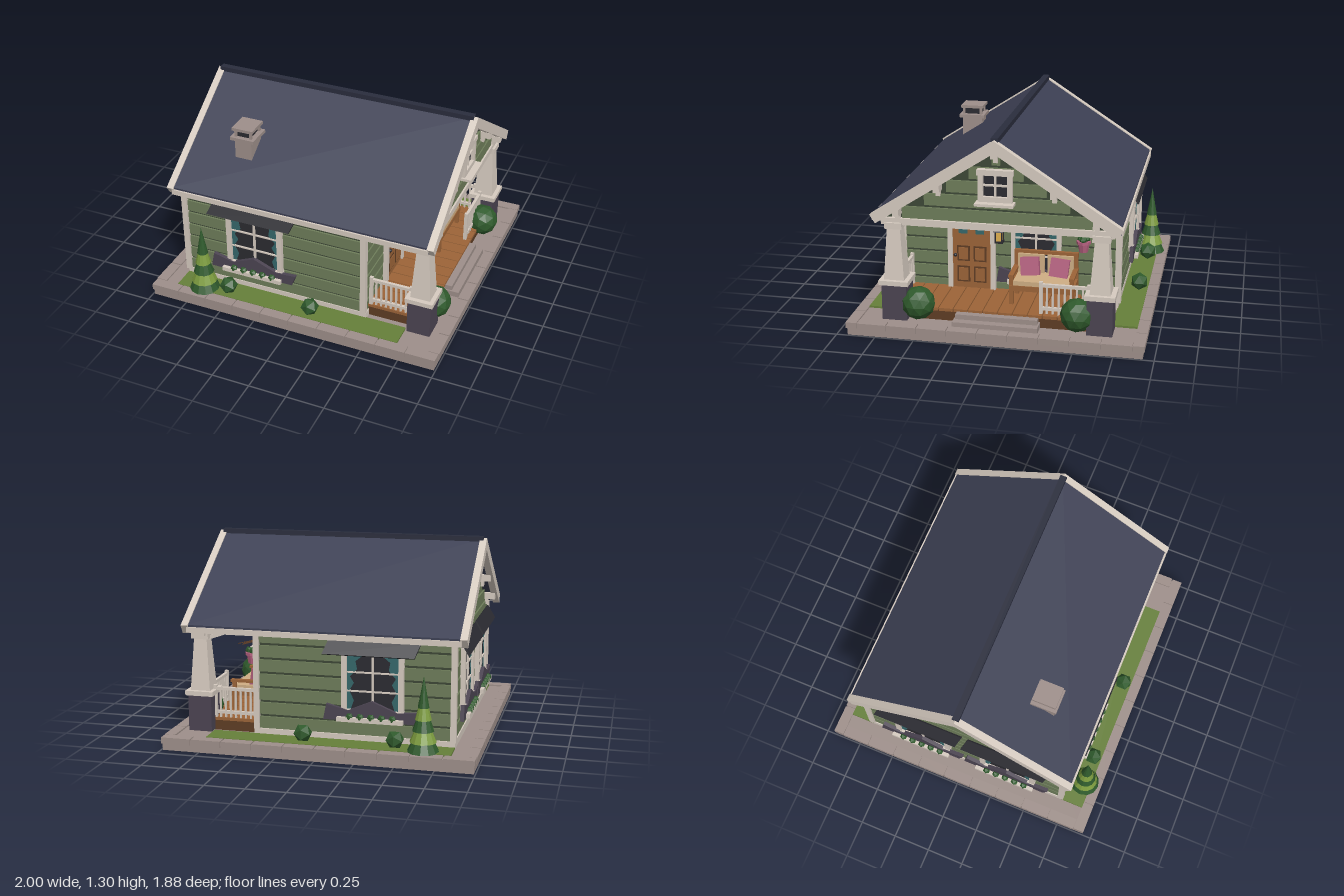
import * as THREE from 'three';

const C = {
  stone: 0x9e8f8a, joint: 0x6f6461, green: 0x6e7d5a, groove: 0x3d4736, cream: 0xd6cbc0, roof: 0x3d4054,
  ridge: 0x2a2d3d, pier: 0x4c4452, wood: 0x9c6438, woodDark: 0x5f3d24, seat: 0xcfae84, grass: 0x66803a,
  leaf: 0x2f5a2c, leafLight: 0x7d9c3f, dark: 0x2b2b31, teal: 0x35686b, pink: 0xb4607f, amber: 0xe0b050,
};
const mats = {};
const mat = (c) => (mats[c] ??= new THREE.MeshStandardMaterial({ color: C[c], flatShading: true, side: THREE.DoubleSide }));

function add(parent, name, geo, c, x = 0, y = 0, z = 0) {
  const m = new THREE.Mesh(geo, mat(c));
  m.name = name;
  m.position.set(x, y, z);
  parent.add(m);
  return m;
}
// Box given by its min and max on each axis
const box = (p, name, c, x0, x1, y0, y1, z0, z1) =>
  add(p, name, new THREE.BoxGeometry(x1 - x0, y1 - y0, z1 - z0), c, (x0 + x1) / 2, (y0 + y1) / 2, (z0 + z1) / 2);
const poly = (pts) => new THREE.Shape(pts.map(([x, y]) => new THREE.Vector2(x, y)));
const slab = (p, name, c, pts, depth, z = 0) =>
  add(p, name, new THREE.ExtrudeGeometry(poly(pts), { depth, bevelEnabled: false }), c, 0, 0, z);
// Prism along x with a [z, y] profile
const prism = (p, name, c, pts, x0, x1) => add(p, name,
  new THREE.ExtrudeGeometry(poly(pts.map(([z, y]) => [-z, y])), { depth: x1 - x0, bevelEnabled: false }).rotateY(Math.PI / 2), c, x0);
function group(parent, name, x = 0, y = 0, z = 0, ry = 0) {
  const g = new THREE.Group();
  g.name = name;
  g.position.set(x, y, z);
  g.rotation.y = ry;
  parent.add(g);
  return g;
}
// Bar between two points
function bar(p, name, c, a, b, t) {
  const A = new THREE.Vector3(...a), B = new THREE.Vector3(...b);
  const m = add(p, name, new THREE.BoxGeometry(t, t, A.distanceTo(B)), c);
  m.position.copy(A).lerp(B, 0.5);
  m.lookAt(B);
  return m;
}

function plot(root) {
  const g = group(root, 'plot');
  box(g, 'baseSlab', 'stone', -0.99, 0.99, 0, 0.075, -0.93, 0.93);
  // Edging stones around the rim
  for (const s of [-1, 1]) {
    for (let i = 0; i < 10; i++) {
      const x = -1 + i * 0.2;
      box(g, 'edgeStone', 'stone', x + 0.004, x + 0.196, 0.045, 0.085, s * 0.905 - 0.035, s * 0.905 + 0.035);
    }
    for (let i = 0; i < 9; i++) {
      const z = -0.87 + i * 0.1933;
      box(g, 'edgeStone', 'stone', s * 0.965 - 0.035, s * 0.965 + 0.035, 0.045, 0.085, z + 0.004, z + 0.189);
    }
    box(g, 'lawn', 'grass', -0.84, 0.72, 0.07, 0.088, s * 0.79 - 0.08, s * 0.79 + 0.08);
  }
}

// Siding planks on a gable end; x is the wall face, dir its outward side
function gableSiding(g, x, dir, y0) {
  for (let y = y0; y < 1.16; y += 0.0925) {
    const half = Math.min(0.7, (1.215 - y - 0.078) / 0.65);
    box(g, 'gableSiding', 'green', Math.min(x, x + dir * 0.014), Math.max(x, x + dir * 0.014), y, y + 0.076, -half, half);
  }
}

function house(root) {
  const g = group(root, 'house');
  box(g, 'foundation', 'cream', -0.84, 0.45, 0.07, 0.122, -0.715, 0.715);
  prism(g, 'wallCore', 'groove', [[-0.7, 0.1], [0.7, 0.1], [0.7, 0.765], [0, 1.22], [-0.7, 0.765]], -0.82, 0.43);
  prism(g, 'porchGable', 'groove', [[-0.7, 0.745], [0.7, 0.745], [0.7, 0.765], [0, 1.22], [-0.7, 0.765]], 0.79, 0.825);
  gableSiding(g, -0.82, -1, 0.125);
  gableSiding(g, 0.43, 1, 0.125);
  gableSiding(g, 0.825, 1, 0.75);
  for (const s of [-1, 1]) {
    for (let i = 0; i < 7; i++) {
      const y = 0.125 + i * 0.0925;
      box(g, 'sideSiding', 'green', -0.82, 0.43, y, y + 0.076, s * 0.706 - 0.007, s * 0.706 + 0.007);
    }
    for (const x of [-0.83, 0.43])
      box(g, 'cornerBoard', 'cream', x - 0.018, x + 0.018, 0.12, 0.745, s * 0.71 - 0.02, s * 0.71 + 0.02);
  }
}

function roof(root) {
  const g = group(root, 'roof');
  for (const s of [-1, 1]) {
    const side = (pts) => pts.map(([z, y]) => [s * z, y]);
    prism(g, 'roofSlope', 'roof', side([[0, 1.282], [0.77, 0.782], [0.77, 0.735], [0, 1.225]]), -0.88, 0.87);
    for (const [x0, x1] of [[-0.915, -0.87], [0.86, 0.905]])
      prism(g, 'bargeBoard', 'cream', side([[0, 1.29], [0.785, 0.78], [0.75, 0.725], [0, 1.212]]), x0, x1);
    box(g, 'eaveFascia', 'cream', -0.88, 0.87, 0.735, 0.77, s * 0.774 - 0.008, s * 0.774 + 0.008);
  }
  box(g, 'ridgeCap', 'ridge', -0.895, 0.88, 1.268, 1.3, -0.022, 0.022);
  // Gable brackets under both overhangs
  for (const [z, y] of [[0, 1.22], [0.36, 0.99], [-0.36, 0.99], [0.62, 0.82], [-0.62, 0.82]])
    for (const s of [-1, 1]) {
      box(g, 'bracketArm', 'cream', s * 0.86 - 0.04, s * 0.86 + 0.04, y - 0.045, y, z - 0.02, z + 0.02);
      box(g, 'bracketFoot', 'cream', s * 0.842 - 0.012, s * 0.842 + 0.012, y - 0.08, y - 0.04, z - 0.015, z + 0.015);
    }
  const c = group(g, 'chimney', -0.487, 0, 0.445);
  box(c, 'chimneyStack', 'stone', -0.058, 0.058, 0.9, 1.08, -0.07, 0.07);
  box(c, 'chimneyBand', 'stone', -0.082, 0.082, 1.078, 1.1, -0.087, 0.087);
  box(c, 'flue', 'dark', -0.045, 0.045, 1.1, 1.142, -0.055, 0.055);
  for (const x of [-1, 1]) for (const z of [-1, 1])
    box(c, 'capSupport', 'stone', x * 0.052 - 0.008, x * 0.052 + 0.008, 1.1, 1.15, z * 0.06 - 0.008, z * 0.06 + 0.008);
  box(c, 'chimneyCap', 'stone', -0.072, 0.072, 1.145, 1.165, -0.078, 0.078);
}

// Window with curtains, awning and flower box, facing local +z
function houseWindow(root, x, z, ry, sx = 1) {
  const g = group(root, 'window', x, 0, z, ry);
  g.scale.x = sx;
  box(g, 'glass', 'dark', -0.17, 0.17, 0.29, 0.64, 0, 0.012);
  for (const s of [-1, 1]) {
    slab(g, 'curtain', 'teal', [[0.165, 0.29], [0.165, 0.64], [0.06, 0.64], [0.11, 0.6], [0.1, 0.55], [0.145, 0.5],
      [0.12, 0.46], [0.15, 0.41], [0.12, 0.35], [0.14, 0.29]].map(([u, v]) => [s * u, v]), 0.003, 0.013);
    box(g, 'sideCasing', 'cream', s * 0.18 - 0.017, s * 0.18 + 0.017, 0.27, 0.65, 0, 0.032);
  }
  box(g, 'headCasing', 'cream', -0.197, 0.197, 0.635, 0.665, 0, 0.034);
  box(g, 'sill', 'cream', -0.2, 0.2, 0.265, 0.295, 0, 0.036);
  box(g, 'mullion', 'cream', -0.007, 0.007, 0.29, 0.64, 0.012, 0.024);
  for (const y of [0.41, 0.53]) box(g, 'glazingBar', 'cream', -0.165, 0.165, y - 0.005, y + 0.005, 0.012, 0.022);
  const a = slab(g, 'awning', 'dark', [[-0.28, 0], [0.3, 0], [0.27, -0.1], [-0.31, -0.1]], 0.012);
  a.position.set(0, 0.725, 0.01);
  a.rotation.x = -0.6;
  slab(g, 'flowerBoxBack', 'pier', [[-0.29, 0.325], [-0.15, 0.29], [0, 0.355], [0.16, 0.29], [0.3, 0.3], [0.27, 0.225], [-0.31, 0.225]], 0.025, 0.02);
  box(g, 'flowerBox', 'cream', -0.22, 0.2, 0.222, 0.25, 0.01, 0.07);
  for (let i = 0; i < 5; i++)
    add(g, 'flowerBoxPlant', new THREE.IcosahedronGeometry(0.025), 'leaf', -0.14 + i * 0.068, 0.252, 0.052);
}

function gableWindow(root) {
  const g = group(root, 'gableWindow', 0.838, 0, 0, Math.PI / 2);
  box(g, 'glass', 'dark', -0.08, 0.08, 0.92, 1.07, 0, 0.012);
  for (const s of [-1, 1]) box(g, 'sideCasing', 'cream', s * 0.09 - 0.016, s * 0.09 + 0.016, 0.89, 1.09, 0, 0.035);
  box(g, 'headCasing', 'cream', -0.112, 0.112, 1.065, 1.1, 0, 0.04);
  box(g, 'lowerCasing', 'cream', -0.106, 0.106, 0.895, 0.93, 0, 0.035);
  box(g, 'sill', 'cream', -0.12, 0.12, 0.88, 0.897, 0, 0.08);
  box(g, 'mullion', 'cream', -0.006, 0.006, 0.92, 1.07, 0.012, 0.024);
  box(g, 'glazingBar', 'cream', -0.08, 0.08, 0.994, 1.006, 0.012, 0.024);
}

function door(root) {
  const g = group(root, 'door', 0.442, 0, 0.247, Math.PI / 2);
  box(g, 'doorLeaf', 'wood', -0.128, 0.128, 0.155, 0.635, 0, 0.02);
  for (const s of [-1, 1]) {
    box(g, 'doorCasing', 'cream', s * 0.142 - 0.016, s * 0.142 + 0.016, 0.155, 0.65, 0, 0.032);
    box(g, 'doorLight', 'teal', s * 0.055 - 0.029, s * 0.055 + 0.029, 0.535, 0.583, 0.015, 0.025);
    for (const [y0, y1] of [[0.2, 0.31], [0.345, 0.45]]) {
      box(g, 'panelGroove', 'woodDark', s * 0.055 - 0.042, s * 0.055 + 0.042, y0, y1, 0.015, 0.023);
      box(g, 'panel', 'wood', s * 0.055 - 0.031, s * 0.055 + 0.031, y0 + 0.011, y1 - 0.011, 0.015, 0.027);
    }
  }
  box(g, 'doorHead', 'cream', -0.158, 0.158, 0.632, 0.67, 0, 0.034);
  add(g, 'doorKnob', new THREE.IcosahedronGeometry(0.012, 1), 'dark', -0.108, 0.385, 0.03);
}

function rail(root, x0, z0, x1, z1) {
  const g = group(root, 'railing');
  for (const y of [0.195, 0.35]) bar(g, 'rail', 'cream', [x0, y, z0], [x1, y, z1], 0.02);
  for (let i = 0; i <= 8; i++) {
    const x = x0 + (x1 - x0) * i / 8, z = z0 + (z1 - z0) * i / 8, t = i % 8 ? 0.006 : 0.011;
    box(g, 'baluster', 'cream', x - t, x + t, 0.15, i % 8 ? 0.35 : 0.372, z - t, z + t);
  }
}

function bench(root) {
  const g = group(root, 'bench', 0, 0, -0.252);
  for (const s of [-1, 1]) {
    const z = s * 0.193;
    box(g, 'backLeg', 'wood', 0.48, 0.505, 0.155, 0.465, z - 0.013, z + 0.013);
    box(g, 'frontLeg', 'wood', 0.66, 0.685, 0.155, 0.35, z - 0.013, z + 0.013);
    box(g, 'armRest', 'wood', 0.48, 0.695, 0.345, 0.362, z - 0.016, z + 0.016);
    const p = box(g, 'pillow', 'pink', 0.535, 0.575, 0.32, 0.435, s * 0.095 - 0.06, s * 0.095 + 0.06);
    p.rotation.set(s * 0.1, 0, 0.2);
    box(g, 'backCushion', 'seat', 0.495, 0.52, 0.32, 0.445, s * 0.095 - 0.085, s * 0.095 + 0.085);
  }
  box(g, 'backRail', 'wood', 0.48, 0.505, 0.44, 0.465, -0.206, 0.206);
  box(g, 'seatFrame', 'wood', 0.48, 0.69, 0.255, 0.29, -0.206, 0.206);
  box(g, 'seatCushion', 'seat', 0.5, 0.685, 0.29, 0.32, -0.18, 0.18);
}

function porch(root) {
  const g = group(root, 'porch');
  box(g, 'deckBase', 'woodDark', 0.44, 0.82, 0.07, 0.146, -0.66, 0.66);
  for (let i = 0; i < 14; i++) {
    const z = -0.665 + i * 0.095;
    box(g, 'deckPlank', 'wood', 0.44, 0.83, 0.14, 0.16, z + 0.003, z + 0.092);
  }
  box(g, 'lowerStep', 'stone', 0.8, 0.925, 0.07, 0.113, -0.27, 0.27);
  box(g, 'upperStep', 'stone', 0.8, 0.875, 0.1, 0.145, -0.26, 0.26);
  box(g, 'frontBeam', 'cream', 0.77, 0.85, 0.705, 0.748, -0.73, 0.73);
  for (const s of [-1, 1]) {
    const c = group(g, 'column', 0.81, 0, s * 0.65);
    box(c, 'pier', 'pier', -0.077, 0.077, 0.08, 0.32, -0.08, 0.08);
    box(c, 'pierCap', 'cream', -0.092, 0.092, 0.315, 0.345, -0.095, 0.095);
    add(c, 'taperedShaft', new THREE.CylinderGeometry(0.042 * Math.SQRT2, 0.065 * Math.SQRT2, 0.34, 4).rotateY(Math.PI / 4), 'cream', 0, 0.515, 0);
    box(c, 'capital', 'cream', -0.056, 0.056, 0.68, 0.72, -0.056, 0.056);
    box(g, 'sideBeam', 'cream', 0.44, 0.78, 0.72, 0.765, s * 0.65 - 0.025, s * 0.65 + 0.025);
    bar(g, 'kneeBrace', 'cream', [0.62, 0.735, s * 0.65], [0.77, 0.68, s * 0.65], 0.025);
    rail(g, 0.46, s * 0.65, 0.73, s * 0.65);
  }
  rail(g, 0.79, -0.27, 0.79, -0.57);
  bench(g);
  // Wall lantern
  const l = group(g, 'lantern', 0.5, 0, 0.055);
  box(l, 'lanternArm', 'dark', -0.06, 0, 0.59, 0.602, -0.008, 0.008);
  add(l, 'lanternRoof', new THREE.CylinderGeometry(0.012, 0.05, 0.03, 4).rotateY(Math.PI / 4), 'dark', 0, 0.595, 0);
  box(l, 'lanternGlass', 'amber', -0.02, 0.02, 0.515, 0.582, -0.02, 0.02);
  for (const x of [-1, 1]) for (const z of [-1, 1])
    box(l, 'lanternPost', 'dark', x * 0.022 - 0.004, x * 0.022 + 0.004, 0.51, 0.585, z * 0.022 - 0.004, z * 0.022 + 0.004);
  box(l, 'lanternBase', 'dark', -0.027, 0.027, 0.503, 0.516, -0.027, 0.027);
  // Hanging flower pot
  const h = group(g, 'hangingPot', 0.53, 0, -0.495);
  add(h, 'pot', new THREE.CylinderGeometry(0.04, 0.028, 0.07, 8), 'pink', 0, 0.525, 0);
  add(h, 'potRim', new THREE.CylinderGeometry(0.046, 0.046, 0.018, 8), 'pink', 0, 0.555, 0);
  for (let i = 0; i < 3; i++) {
    const a = i * Math.PI * 2 / 3, x = Math.cos(a), z = Math.sin(a);
    bar(h, 'potCord', 'woodDark', [x * 0.04, 0.56, z * 0.04], [0, 0.71, 0], 0.004);
    add(h, 'potPlant', new THREE.IcosahedronGeometry(0.026), 'leaf', x * 0.02, 0.575, z * 0.02);
  }
}

function garden(root) {
  const g = group(root, 'garden');
  for (const s of [-1, 1]) {
    add(g, 'largeBush', new THREE.IcosahedronGeometry(0.107, 1), 'leaf', 0.84, 0.19, s * 0.505);
    for (const x of [-0.485, 0.1]) add(g, 'smallBush', new THREE.IcosahedronGeometry(0.06), 'leaf', x, 0.143, s * 0.815);
    // Conifer of stacked cones in alternating greens
    const t = group(g, 'conifer', -0.662, 0, s * 0.82);
    [[0.1, 0.085, 0.2], [0.084, 0.145, 0.2], [0.068, 0.215, 0.2], [0.052, 0.285, 0.2], [0.036, 0.36, 0.195]].forEach(([r, y, h], i) =>
      add(t, 'coniferTier', new THREE.ConeGeometry(r, h, 12), i % 2 ? 'leafLight' : 'leaf', 0, y + h / 2, 0));
  }
}

export function createModel() {
  const root = new THREE.Group();
  root.name = 'cottage';
  plot(root);
  house(root);
  roof(root);
  houseWindow(root, -0.325, 0.71, 0);
  houseWindow(root, -0.325, -0.71, Math.PI);
  for (const z of [-0.3, 0.32]) houseWindow(root, -0.832, z, -Math.PI / 2);
  houseWindow(root, 0.442, -0.178, Math.PI / 2, 0.83);
  gableWindow(root);
  door(root);
  porch(root);
  garden(root);
  return root;
}
